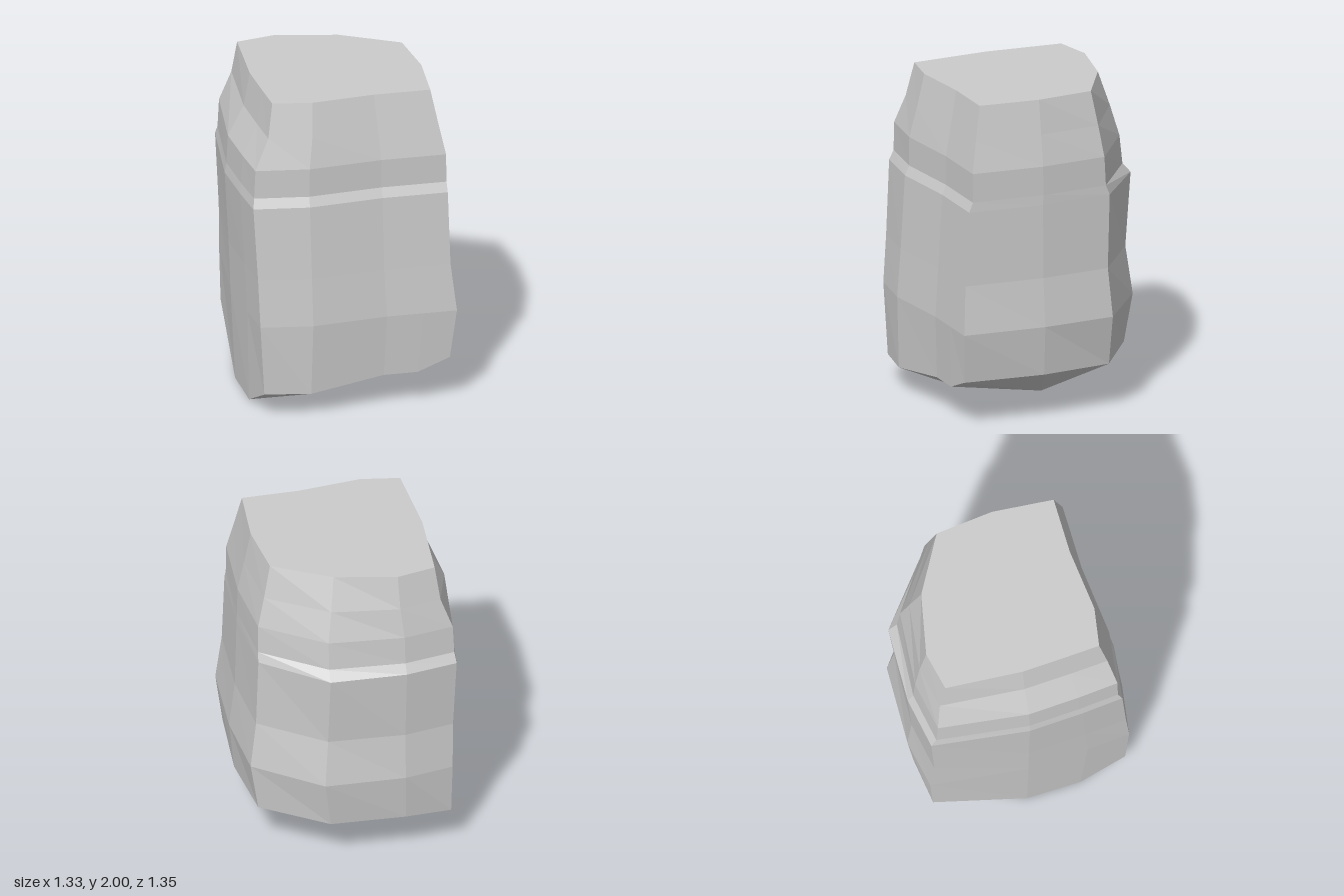
import * as THREE from 'three';

// Outlines [x, z], counter-clockwise from above, starting at the front corner on -x
const TOP = [
  [-0.48, 0.47], [-0.24, 0.51], [0.15, 0.47], [0.33, 0.47], [0.5, 0.47], [0.53, 0.09],
  [0.49, -0.27], [0.14, -0.47], [-0.24, -0.55], [-0.48, -0.5], [-0.51, -0.02], [-0.495, 0.24],
];
const LEDGE = [
  [-0.62, 0.575], [-0.28, 0.62], [0.18, 0.575], [0.39, 0.575], [0.585, 0.575], [0.615, 0.1],
  [0.58, -0.355], [0.2, -0.66], [-0.27, -0.675], [-0.59, -0.62], [-0.665, -0.02], [-0.645, 0.32],
];
// Blend from TOP (0) to LEDGE (1) at each height: y, then the -x, +x, +z and -z sides
const LEVELS = [
  [2, 0, 0, 0, 0],
  [1.79, 0.24, 0.48, 0.4, 0.35],
  [1.6, 0.87, 0.94, 0.76, 0.62],
  [1.42, 0.93, 0.97, 0.76, 0.72],
  [1.36, 1, 1, 1, 1],
  [0.9, 0.84, 1.12, 1.28, 0.8],
  [0.6, 0.77, 1.53, 1.5, 1],
];
// Uneven lower rim
const RIM = [
  [-0.56, 0.15, 0.61], [-0.28, 0.15, 0.66], [0.18, 0.21, 0.61], [0.39, 0.21, 0.61],
  [0.59, 0.29, 0.61], [0.63, 0.29, 0.1], [0.58, 0.29, -0.35], [0.19, 0.29, -0.62],
  [-0.27, 0.29, -0.64], [-0.56, 0.27, -0.6], [-0.6, 0, -0.02], [-0.59, 0, 0.32],
];
// Foot and ridge points of the underside, numbered 12 to 15 after the rim
const FOOT = [[-0.29, 0, -0.02], [-0.29, 0, 0.32], [0.18, 0.115, 0.02], [0.4, 0.115, 0.02]];
const UNDERSIDE = [
  [1, 0, 11, 13], [2, 1, 13, 14], [3, 2, 14, 15], [4, 3, 15], [5, 4, 15], [6, 5, 15],
  [7, 6, 15, 14], [8, 7, 14, 12], [9, 8, 12, 10], [11, 10, 12, 13], [12, 14, 13],
];

function makeRing([y, left, right, front, back]) {
  return TOP.map(([x, z], i) => [
    THREE.MathUtils.lerp(x, LEDGE[i][0], x < 0 ? left : right),
    y,
    THREE.MathUtils.lerp(z, LEDGE[i][1], z < 0 ? back : front),
  ]);
}

function makeRock() {
  const rings = [...LEVELS.map(makeRing), RIM];
  const points = [...rings, FOOT].flat();
  const n = TOP.length;
  const index = [];
  const addFace = (f) => {
    for (let i = 1; i < f.length - 1; i++) index.push(f[0], f[i], f[i + 1]);
  };

  // Flat top
  addFace(TOP.map((_, i) => i));
  // Faceted sides
  for (let r = 0; r < rings.length - 1; r++) {
    for (let i = 0; i < n; i++) {
      const a = r * n + i;
      const b = r * n + ((i + 1) % n);
      addFace([a, a + n, b + n, b]);
    }
  }
  // Broken underside
  const start = (rings.length - 1) * n;
  UNDERSIDE.forEach((f) => addFace(f.map((i) => i + start)));

  const indexed = new THREE.BufferGeometry();
  indexed.setAttribute('position', new THREE.Float32BufferAttribute(points.flat(), 3));
  indexed.setIndex(index);
  const geometry = indexed.toNonIndexed();
  geometry.computeVertexNormals();
  return geometry;
}

export function createModel() {
  const group = new THREE.Group();
  group.name = 'rockPillar';
  const material = new THREE.MeshStandardMaterial({ color: 0xcccccc, flatShading: true });
  const rock = new THREE.Mesh(makeRock(), material);
  rock.name = 'rock';
  group.add(rock);
  return group;
}
